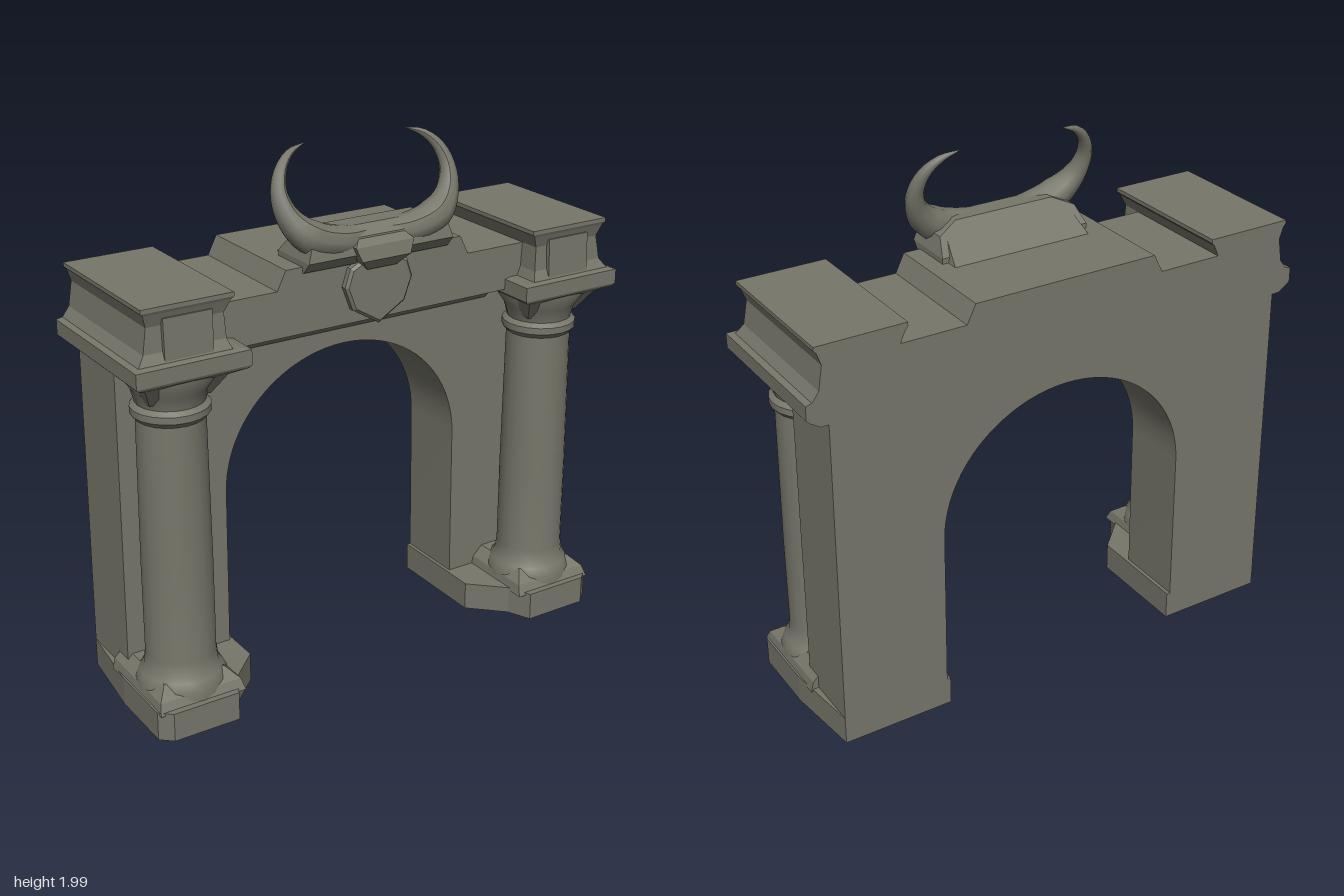
import * as THREE from 'three';
import { toCreasedNormals } from 'three/addons/utils/BufferGeometryUtils.js';

const BACK = -0.31;

// Stack of rectangles [y, x0, x1, z0, z1] joined into a closed block
function loft(rects) {
  const pos = [];
  const rings = rects.map(([y, x0, x1, z0, z1]) =>
    [[x0, y, z1], [x1, y, z1], [x1, y, z0], [x0, y, z0]]);
  const quad = (a, b, c, d) => pos.push(...a, ...b, ...c, ...a, ...c, ...d);
  for (let i = 0; i < rings.length - 1; i++) {
    for (let k = 0; k < 4; k++) {
      const n = (k + 1) % 4;
      quad(rings[i][k], rings[i][n], rings[i + 1][n], rings[i + 1][k]);
    }
  }
  const b = rings[0], t = rings[rings.length - 1];
  quad(b[3], b[2], b[1], b[0]);
  quad(t[0], t[1], t[2], t[3]);
  const g = new THREE.BufferGeometry();
  g.setAttribute('position', new THREE.Float32BufferAttribute(pos, 3));
  g.computeVertexNormals();
  return g;
}

// The same stack on the left (s = 1) or the right (s = -1)
const sideLoft = (s, rects) => loft(rects.map(([y, a, b, z0, z1]) =>
  (s > 0 ? [y, a, b, z0, z1] : [y, -b, -a, z0, z1])));

const outline = (pts) => new THREE.Shape(pts.map(([x, y]) => new THREE.Vector2(x, y)));

// Outline in x, y pushed from z0 to z1
function slab(shape, z0, z1) {
  const g = new THREE.ExtrudeGeometry(shape, { depth: z1 - z0, bevelEnabled: false, curveSegments: 20 });
  g.translate(0, 0, z0);
  return toCreasedNormals(g, 0.6);
}

// Horn crescent: a tube whose radius follows a list along the path
function taperedTube(points, radii) {
  const path = new THREE.CatmullRomCurve3(points.map((p) => new THREE.Vector3(...p)));
  const segs = 56, sides = 10;
  const g = new THREE.TubeGeometry(path, segs, 1, sides, false);
  const p = g.attributes.position, v = new THREE.Vector3();
  for (let i = 0; i <= segs; i++) {
    const u = i / segs, c = path.getPointAt(u);
    const t = path.getUtoTmapping(u) * (radii.length - 1);
    const k = Math.min(Math.floor(t), radii.length - 2);
    const r = THREE.MathUtils.lerp(radii[k], radii[k + 1], t - k);
    for (let j = 0; j <= sides; j++) {
      const n = i * (sides + 1) + j;
      v.fromBufferAttribute(p, n).sub(c).multiplyScalar(r).add(c);
      p.setXYZ(n, v.x, v.y, v.z);
    }
  }
  g.computeVertexNormals();
  return g;
}

export function createModel() {
  const model = new THREE.Group();
  model.name = 'hornedGateway';
  const stone = new THREE.MeshStandardMaterial({ color: 0x77766a });
  stone.name = 'grey stone';
  const add = (name, geometry) => {
    const mesh = new THREE.Mesh(geometry, stone);
    mesh.name = name;
    model.add(mesh);
    return mesh;
  };

  // Wall with the arched opening
  const wall = new THREE.Shape();
  wall.moveTo(0.51, 0);
  wall.lineTo(0.93, 0);
  wall.lineTo(0.92, 1.5);
  wall.lineTo(-0.92, 1.5);
  wall.lineTo(-0.93, 0);
  wall.lineTo(-0.51, 0);
  wall.lineTo(-0.505, 0.72);
  wall.absellipse(0, 0.72, 0.505, 0.48, Math.PI, 0, true);
  wall.lineTo(0.51, 0);
  add('archWall', slab(wall, BACK, -0.03));

  // Lintel with raised centre
  add('lintel', slab(outline([
    [-0.65, 1.36], [0.65, 1.36], [0.65, 1.53], [0.4, 1.53], [0.365, 1.6],
    [-0.365, 1.6], [-0.4, 1.53], [-0.65, 1.53],
  ]), BACK, 0.18));

  // Slope from the wall out to the lintel
  add('lintelCove', loft([
    [1.26, -0.64, 0.64, -0.1, -0.025],
    [1.32, -0.64, 0.64, -0.1, 0.04],
    [1.365, -0.64, 0.64, -0.1, 0.165],
  ]));

  for (const s of [1, -1]) {
    const side = s > 0 ? 'left' : 'right';

    // Plinth with clipped corners
    const plinth = new THREE.ExtrudeGeometry(outline([
      [0.495, 0.31], [0.93, 0.31], [0.965, 0], [0.965, -0.27], [0.92, -0.31],
      [0.66, -0.31], [0.62, -0.22], [0.495, -0.1],
    ].map(([x, y]) => [s * x, y])), { depth: 0.11, bevelEnabled: false });
    plinth.rotateX(-Math.PI / 2);
    add(side + 'Plinth', plinth);
    add(side + 'PlinthTop', sideLoft(s, [
      [0.1, 0.62, 0.96, -0.1, 0.29], [0.14, 0.63, 0.95, -0.1, 0.27], [0.18, 0.67, 0.91, -0.1, 0.22],
    ]));

    // Column with base rings and flared capital
    const profile = [
      [0.165, 0.1], [0.165, 0.15], [0.15, 0.18], [0.135, 0.2], [0.128, 0.25], [0.128, 0.6],
      [0.122, 1.15], [0.14, 1.17], [0.14, 1.195], [0.122, 1.21], [0.135, 1.26], [0.17, 1.31], [0.17, 1.34],
    ].map(([r, y]) => new THREE.Vector2(r, y));
    const column = add(side + 'Column', toCreasedNormals(new THREE.LatheGeometry(profile, 20), 0.7));
    column.position.set(s * 0.79, 0, 0.122);

    // Corner leaves under the cornice
    for (const dx of [-1, 1]) {
      const x = 0.79 + dx * 0.13;
      add(side + 'CapitalLeaf', sideLoft(s, [
        [1.23, x - 0.015 - dx * 0.03, x + 0.015 - dx * 0.03, 0.17, 0.2],
        [1.33, x - 0.035, x + 0.035, 0.17, 0.27],
      ]));
    }

    // Cornice band
    add(side + 'Cornice', sideLoft(s, [
      [1.31, 0.64, 0.95, BACK, 0.26], [1.335, 0.585, 0.99, BACK, 0.305],
      [1.345, 0.575, 1, BACK, 0.31], [1.4, 0.575, 1, BACK, 0.31],
      [1.405, 0.6, 0.98, BACK, 0.29],
    ]));

    // Top block with a lip
    add(side + 'TopBlock', sideLoft(s, [
      [1.4, 0.63, 0.98, BACK, 0.285], [1.44, 0.645, 0.95, BACK, 0.265],
      [1.53, 0.65, 0.935, BACK, 0.26], [1.575, 0.63, 0.95, BACK, 0.275],
      [1.585, 0.62, 0.96, BACK, 0.28], [1.6, 0.62, 0.96, BACK, 0.28],
    ]));
    add(side + 'TopPanel', sideLoft(s, [
      [1.41, 0.7, 0.88, 0.2, 0.28], [1.555, 0.7, 0.88, 0.2, 0.275],
    ]));
  }

  // Shield on the lintel
  const shield = new THREE.ExtrudeGeometry(outline([
    [0, 1.36], [0.1, 1.42], [0.13, 1.5], [0.11, 1.56], [0.05, 1.59],
    [-0.05, 1.59], [-0.11, 1.56], [-0.13, 1.5], [-0.1, 1.42],
  ]), { depth: 0.035, bevelEnabled: true, bevelSize: 0.01, bevelThickness: 0.01, bevelSegments: 1 });
  shield.translate(0, 0, 0.165);
  add('shield', shield);

  // Head that carries the horns, sloping down behind
  add('headBase', loft([
    [1.58, -0.3, 0.3, 0.02, 0.19], [1.62, -0.3, 0.3, 0.02, 0.225],
    [1.68, -0.28, 0.28, 0.07, 0.215], [1.715, -0.2, 0.2, 0.1, 0.18],
  ]));
  add('headSlope', loft([
    [1.59, -0.28, 0.28, -0.04, 0.12], [1.69, -0.25, 0.25, 0.09, 0.12],
  ]));
  add('muzzle', loft([
    [1.56, -0.06, 0.06, 0.15, 0.22], [1.6, -0.1, 0.1, 0.15, 0.25],
    [1.65, -0.12, 0.12, 0.15, 0.24], [1.69, -0.08, 0.08, 0.15, 0.2],
  ]));

  // Horns from tip to tip
  const half = [
    [0.15, 1.665, 0.17, 0.058], [0.265, 1.7, 0.165, 0.062], [0.33, 1.77, 0.14, 0.042],
    [0.348, 1.85, 0.112, 0.029], [0.325, 1.92, 0.085, 0.022], [0.275, 1.968, 0.062, 0.014],
    [0.21, 1.99, 0.047, 0.002],
  ];
  const horn = [
    ...half.map(([x, y, z, r]) => [-x, y, z, r]).reverse(), [0, 1.66, 0.15, 0.056], ...half,
  ];
  add('horns', taperedTube(horn.map((h) => h.slice(0, 3)), horn.map((h) => h[3])));

  return model;
}
